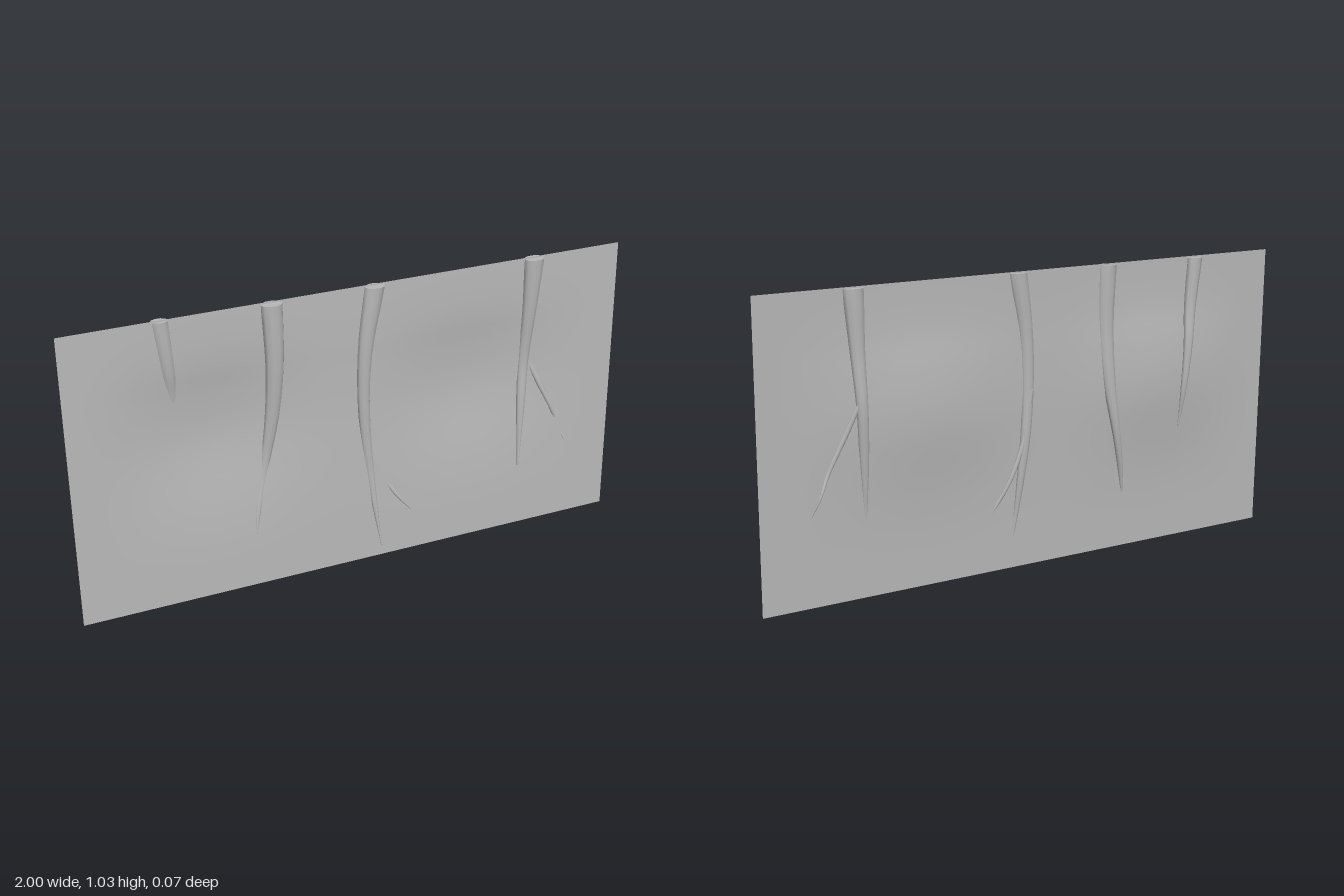
import * as THREE from 'three';

const HEIGHT = 1.035;

// Depth of the gently dented sheet: leans forward at the foot, two hollows behind
function sheetZ(x, y) {
  const hollow = (cx, cy, rx, ry, depth) =>
    depth * Math.exp(-(((x - cx) / rx) ** 2) - ((y - cy) / ry) ** 2);
  const t = THREE.MathUtils.clamp(y / HEIGHT, 0, 1);
  const fade = Math.min(1, 4 * t) * Math.min(1, 4 * (1 - t)) * Math.min(1, 5 * (1 - Math.abs(x)));
  return 0.017 - 0.02 * t
    - fade * (hollow(-0.5, 0.6, 0.3, 0.24, 0.026) + hollow(0.42, 0.6, 0.32, 0.24, 0.024));
}

function createSheet(material) {
  const geo = new THREE.PlaneGeometry(2, HEIGHT, 48, 28);
  geo.translate(0, HEIGHT / 2, 0);
  const p = geo.attributes.position;
  for (let i = 0; i < p.count; i++) p.setZ(i, sheetZ(p.getX(i), p.getY(i)));
  geo.computeVertexNormals();
  const mesh = new THREE.Mesh(geo, material);
  mesh.name = 'sheet';
  return mesh;
}

// Tapering root; each station is [x, y, offset from the sheet, radius]
function createRoot(name, stations, material) {
  const rings = 20, sides = 10, flat = 0.7;
  const path = new THREE.CatmullRomCurve3(
    stations.map(([x, y, dz]) => new THREE.Vector3(x, y, sheetZ(x, y) + dz)));
  const radii = new THREE.SplineCurve(stations.map((s, i) => new THREE.Vector2(i, s[3])));
  const pos = [], idx = [];
  for (let i = 0; i <= rings; i++) {
    const c = path.getPoint(i / rings);
    const r = Math.max(0.001, radii.getPoint(i / rings).y);
    const tan = path.getTangent(i / rings);
    const side = new THREE.Vector2(-tan.y, tan.x).normalize();
    // The first ring stays level so the top is cut straight
    if (i === 0) side.set(1, 0);
    for (let j = 0; j < sides; j++) {
      const a = (j / sides) * Math.PI * 2;
      const u = r * Math.cos(a);
      pos.push(c.x + u * side.x, c.y + u * side.y, c.z + flat * r * Math.sin(a));
      if (i < rings) {
        const k = i * sides + j, n = i * sides + (j + 1) % sides;
        idx.push(k, n, k + sides, n, n + sides, k + sides);
      }
    }
  }
  const geo = new THREE.BufferGeometry();
  geo.setAttribute('position', new THREE.Float32BufferAttribute(pos, 3));
  geo.setIndex(idx);
  geo.computeVertexNormals();
  const root = new THREE.Group();
  root.name = name;
  const body = new THREE.Mesh(geo, material);
  body.name = name + 'Body';
  root.add(body);

  // Flat cut at the top
  const [x, y, dz, r] = stations[0];
  const cap = new THREE.Mesh(new THREE.CircleGeometry(r, sides), material);
  cap.name = name + 'Cut';
  cap.rotation.x = -Math.PI / 2;
  cap.scale.y = flat;
  cap.position.set(x, y, sheetZ(x, y) + dz);
  root.add(cap);
  return root;
}

export function createModel() {
  const grey = new THREE.MeshStandardMaterial({ color: 0xb8b8b8, side: THREE.DoubleSide });
  grey.name = 'grey';
  const model = new THREE.Group();
  model.name = 'rootsInSheet';
  model.add(createSheet(grey));

  const roots = {
    // Short root, mostly behind the sheet
    shortRoot: [[-0.668, 1.03, -0.008, 0.029], [-0.65, 0.86, -0.008, 0.024],
      [-0.635, 0.72, -0.013, 0.018], [-0.62, 0.56, -0.01, 0.012], [-0.61, 0.42, -0.006, 0.003]],
    // Curved root that dips behind and pokes out at its tip
    curvedRoot: [[-0.3, 1.03, 0.008, 0.037], [-0.295, 0.82, 0.009, 0.032],
      [-0.305, 0.63, 0.006, 0.026], [-0.335, 0.44, -0.008, 0.016],
      [-0.365, 0.3, -0.005, 0.011], [-0.382, 0.19, 0.003, 0.003]],
    // Long central root and its branch
    centralRoot: [[0.062, 1.03, 0.006, 0.036], [0.03, 0.83, 0.006, 0.028],
      [0.023, 0.65, 0.004, 0.023], [0.033, 0.48, -0.003, 0.02],
      [0.05, 0.33, -0.006, 0.015], [0.065, 0.19, 0.001, 0.009], [0.087, 0.04, 0.005, 0.002]],
    centralBranch: [[0.015, 0.63, -0.008, 0.008], [0.045, 0.45, -0.009, 0.009],
      [0.1, 0.31, -0.008, 0.008], [0.15, 0.225, 0.003, 0.006], [0.203, 0.16, 0.002, 0.002]],
    // Straight root and its branch
    straightRoot: [[0.663, 1.03, 0.002, 0.037], [0.655, 0.83, -0.001, 0.027],
      [0.648, 0.65, -0.005, 0.021], [0.64, 0.48, 0.002, 0.017], [0.633, 0.24, 0.004, 0.004]],
    straightBranch: [[0.66, 0.66, -0.009, 0.008], [0.705, 0.56, 0.001, 0.009],
      [0.765, 0.44, 0.002, 0.007], [0.795, 0.37, -0.007, 0.005], [0.825, 0.305, 0.002, 0.003]],
  };
  for (const [name, stations] of Object.entries(roots)) model.add(createRoot(name, stations, grey));
  return model;
}
